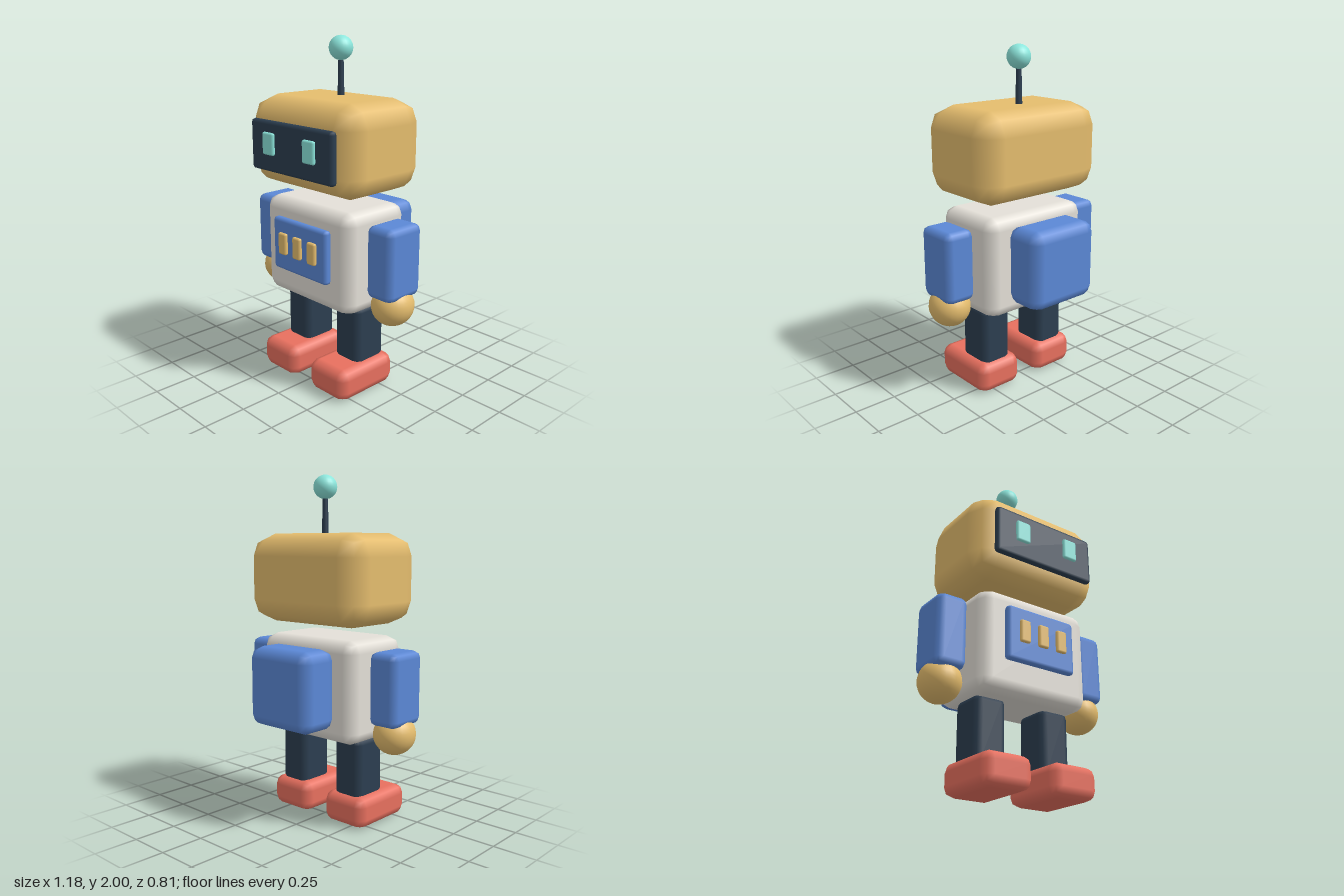
import * as THREE from 'three';
import { RoundedBoxGeometry } from 'three/addons/geometries/RoundedBoxGeometry.js';

const paint = (color) => new THREE.MeshStandardMaterial({ color });

export function createModel() {
  const robot = new THREE.Group();
  robot.name = 'robot';

  const tan = paint(0xe5bd6e);
  const navy = paint(0x2c3e50);
  const blue = paint(0x5b88d6);
  const white = paint(0xe4e0d8);
  const red = paint(0xe8705f);
  const teal = paint(0x8ce6dc);

  function add(name, geometry, material, x, y, z) {
    const mesh = new THREE.Mesh(geometry, material);
    mesh.name = name;
    mesh.position.set(x, y, z);
    robot.add(mesh);
    return mesh;
  }

  // Box with softly bevelled edges, placed by its centre
  const block = (name, material, [w, h, d], radius, [x, y, z]) =>
    add(name, new RoundedBoxGeometry(w, h, d, 1, radius), material, x, y, z);

  // Head and face
  block('head', tan, [0.85, 0.514, 0.585], 0.13, [0, 1.416, 0.052]);
  block('visor', navy, [0.666, 0.288, 0.045], 0.02, [0, 1.404, 0.362]);

  // Antenna
  add('antennaRod', new THREE.CylinderGeometry(0.015, 0.02, 0.23, 12), navy, 0, 1.775, 0);
  add('antennaBall', new THREE.SphereGeometry(0.068, 24, 16), teal, 0, 1.932, 0);

  // Torso, chest panel and backpack
  block('torso', white, [0.708, 0.588, 0.46], 0.07, [0, 0.795, 0.055]);
  block('chestPanel', blue, [0.444, 0.312, 0.05], 0.02, [0, 0.831, 0.306]);
  for (const x of [-0.122, 0, 0.122]) {
    block('chestButton', tan, [0.066, 0.13, 0.026], 0.012, [x, 0.843, 0.341]);
  }
  block('backpack', blue, [0.458, 0.458, 0.25], 0.065, [0, 0.813, -0.28]);

  // Mirrored parts
  for (const [side, s] of [['left', 1], ['right', -1]]) {
    block(side + 'Eye', teal, [0.093, 0.127, 0.025], 0.012, [s * 0.166, 1.423, 0.391]);
    block(side + 'Arm', blue, [0.184, 0.414, 0.256], 0.04, [s * 0.471, 0.826, 0.056]);
    const hand = add(side + 'Hand', new THREE.SphereGeometry(0.117, 24, 16), tan, s * 0.471, 0.567, 0.056);
    hand.scale.z = 1.07;
    block(side + 'Leg', navy, [0.19, 0.37, 0.22], 0.038, [s * 0.212, 0.335, 0.055]);
    block(side + 'Foot', red, [0.294, 0.184, 0.423], 0.055, [s * 0.21, 0.092, 0.119]);
  }

  return robot;
}
